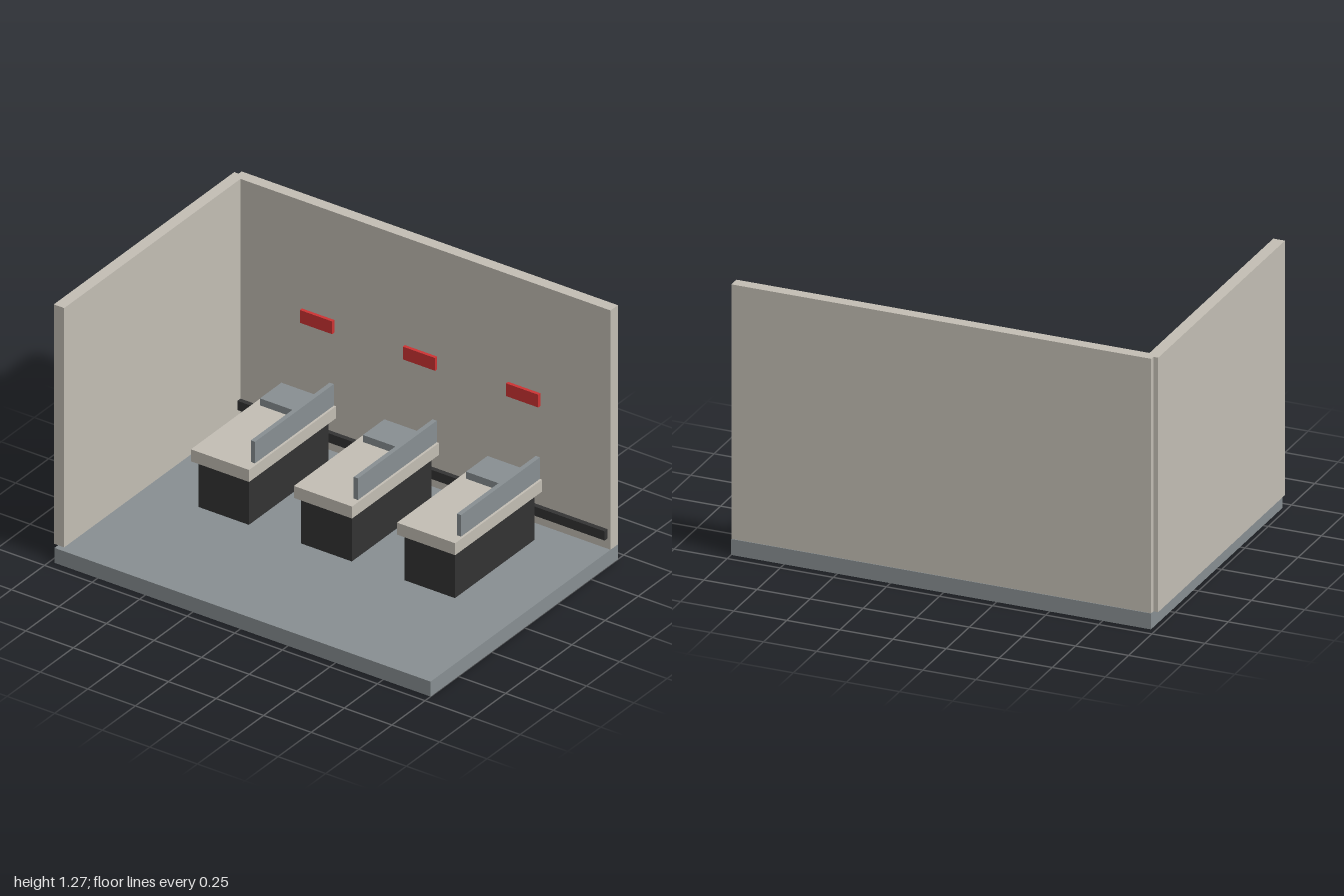
import * as THREE from 'three';

const material = (name, color) => {
  const m = new THREE.MeshStandardMaterial({ color });
  m.name = name;
  return m;
};

export function createModel() {
  const cream = material('cream', 0xc2bdb3);
  const slate = material('slate grey', 0x878e91);
  const charcoal = material('charcoal', 0x333333);
  const red = material('sign red', 0xcc3333);

  // Box given by its extent along each axis
  const box = (parent, name, mat, [x0, x1], [y0, y1], [z0, z1]) => {
    const mesh = new THREE.Mesh(new THREE.BoxGeometry(x1 - x0, y1 - y0, z1 - z0), mat);
    mesh.position.set((x0 + x1) / 2, (y0 + y1) / 2, (z0 + z1) / 2);
    mesh.name = name;
    parent.add(mesh);
  };

  const model = new THREE.Group();
  model.name = 'checkoutRoom';

  // Room shell
  box(model, 'floor', slate, [-0.977, 1], [0, 0.075], [-0.708, 0.708]);
  box(model, 'backWall', cream, [-0.977, 1], [0.075, 1.275], [-0.705, -0.65]);
  box(model, 'sideWall', cream, [-1, -0.945], [0.075, 1.275], [-0.682, 0.68]);
  box(model, 'wallBumper', charcoal, [-0.945, 0.985], [0.127, 0.173], [-0.65, -0.627]);

  // Three identical counters, each with a sign on the wall behind it
  [-0.533, 0.008, 0.55].forEach((x, i) => {
    const station = new THREE.Group();
    station.name = `counterStation${i + 1}`;
    station.position.x = x;
    box(station, 'counterBase', charcoal, [-0.133, 0.133], [0.075, 0.31], [-0.533, 0.069]);
    box(station, 'counterTop', cream, [-0.153, 0.153], [0.31, 0.37], [-0.56, 0.096]);
    box(station, 'register', slate, [-0.121, 0.117], [0.37, 0.405], [-0.541, -0.379]);
    box(station, 'sideScreen', slate, [0.141, 0.163], [0.392, 0.5], [-0.529, 0.066]);
    box(station, 'wallSign', red, [-0.084, 0.086], [0.676, 0.74], [-0.643, -0.627]);
    model.add(station);
  });

  return model;
}
